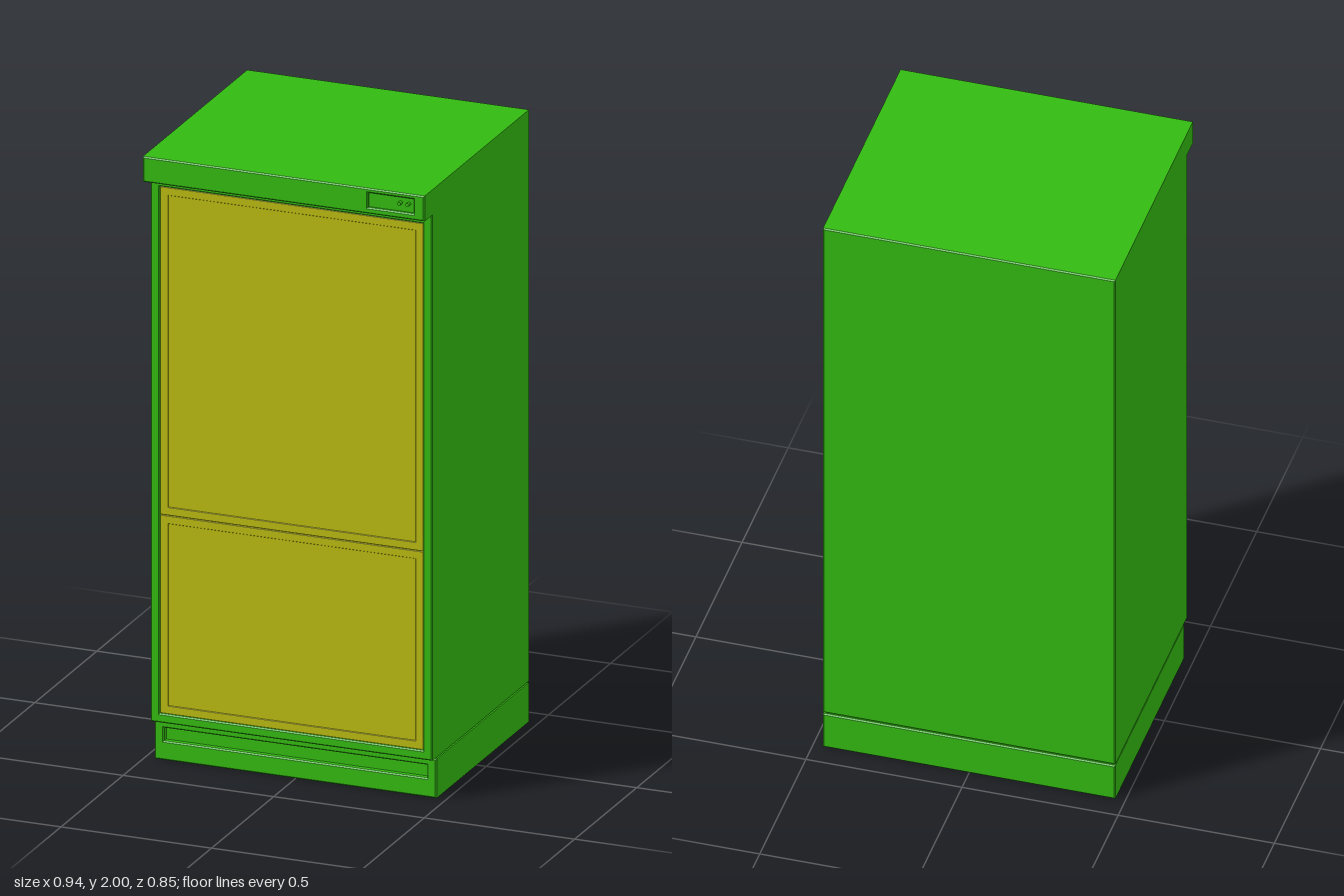
import * as THREE from 'three';

const GREEN = new THREE.MeshStandardMaterial({ color: 0x33bb11 });
const YELLOW = new THREE.MeshStandardMaterial({ color: 0xbbbb11 });
const BACK = -0.425, BEVEL = 0.004, HALF = 0.468;

function rect(target, x0, x1, y0, y1) {
  target.moveTo(x0, y0);
  target.lineTo(x1, y0);
  target.lineTo(x1, y1);
  target.lineTo(x0, y1);
  target.closePath();
  return target;
}

function box(name, [x0, x1, y0, y1], z0, z1, material) {
  const mesh = new THREE.Mesh(new THREE.BoxGeometry(x1 - x0, y1 - y0, z1 - z0), material);
  mesh.position.set((x0 + x1) / 2, (y0 + y1) / 2, (z0 + z1) / 2);
  mesh.name = name;
  return mesh;
}

// Block with softened front and back edges and an opening through its depth
function frame(name, [x0, x1, y0, y1], [a, b, c, d], z0, z1, material, bevel = BEVEL) {
  const shape = rect(new THREE.Shape(), x0 + bevel, x1 - bevel, y0 + bevel, y1 - bevel);
  shape.holes.push(rect(new THREE.Path(), a - bevel, b + bevel, c - bevel, d + bevel));
  const geometry = new THREE.ExtrudeGeometry(shape, {
    depth: z1 - z0 - 2 * bevel, bevelEnabled: true,
    bevelSize: bevel, bevelThickness: bevel, bevelSegments: 1,
  });
  geometry.translate(0, 0, z0 + bevel);
  const mesh = new THREE.Mesh(geometry, material);
  mesh.name = name;
  return mesh;
}

// Block with a shallow pocket in its front, closed by a solid core behind it
function pocketBlock(name, outer, hole, front, floor) {
  const group = new THREE.Group();
  group.name = name;
  const [a, b, c, d] = hole;
  const g = 2 * BEVEL;
  group.add(
    frame(name + 'Shell', outer, hole, BACK, front, GREEN),
    box(name + 'Core', [a - g, b + g, c - g, d + g], BACK, floor, GREEN),
  );
  return group;
}

// Door with a slightly sunken panel inside a narrow border
function door(name, y0, y1) {
  const group = new THREE.Group();
  group.name = name;
  const rim = 0.026;
  const inner = [-0.437 + rim, 0.437 - rim, y0 + rim, y1 - rim];
  group.add(
    frame(name + 'Border', [-0.437, 0.437, y0, y1], inner, 0.335, 0.353, YELLOW, 0.001),
    box(name + 'Panel', [-0.434, 0.434, y0 + 0.003, y1 - 0.003], 0.337, 0.349, YELLOW),
  );
  return group;
}

export function createModel() {
  const model = new THREE.Group();
  model.name = 'refrigerator';

  // Plinth with a long ventilation slot, and the seam above it
  model.add(
    pocketBlock('plinth', [-HALF, HALF, 0, 0.128], [-0.437, 0.437, 0.062, 0.105], 0.325, 0.305),
    box('plinthSeam', [-0.46, 0.46, 0.12, 0.14], -0.417, 0.315, GREEN),
  );

  // Cabinet and its two doors
  model.add(
    pocketBlock('cabinet', [-HALF, HALF, 0.133, 1.93], [-0.437, 0.437, 0.163, 1.885], 0.358, 0.34),
    door('lowerDoor', 0.164, 0.811),
    door('upperDoor', 0.813, 1.884),
  );

  // Overhanging top with a sunken control panel
  model.add(
    pocketBlock('top', [-HALF, HALF, 1.917, 2], [0.28, 0.432, 1.937, 1.985], 0.421, 0.41),
  );
  for (const x of [0.385, 0.413]) {
    const knob = new THREE.Mesh(new THREE.CylinderGeometry(0.006, 0.006, 0.018, 12), GREEN);
    knob.rotation.x = Math.PI / 2;
    knob.position.set(x, 1.965, 0.416);
    knob.name = 'controlKnob';
    model.add(knob);
  }
  return model;
}
